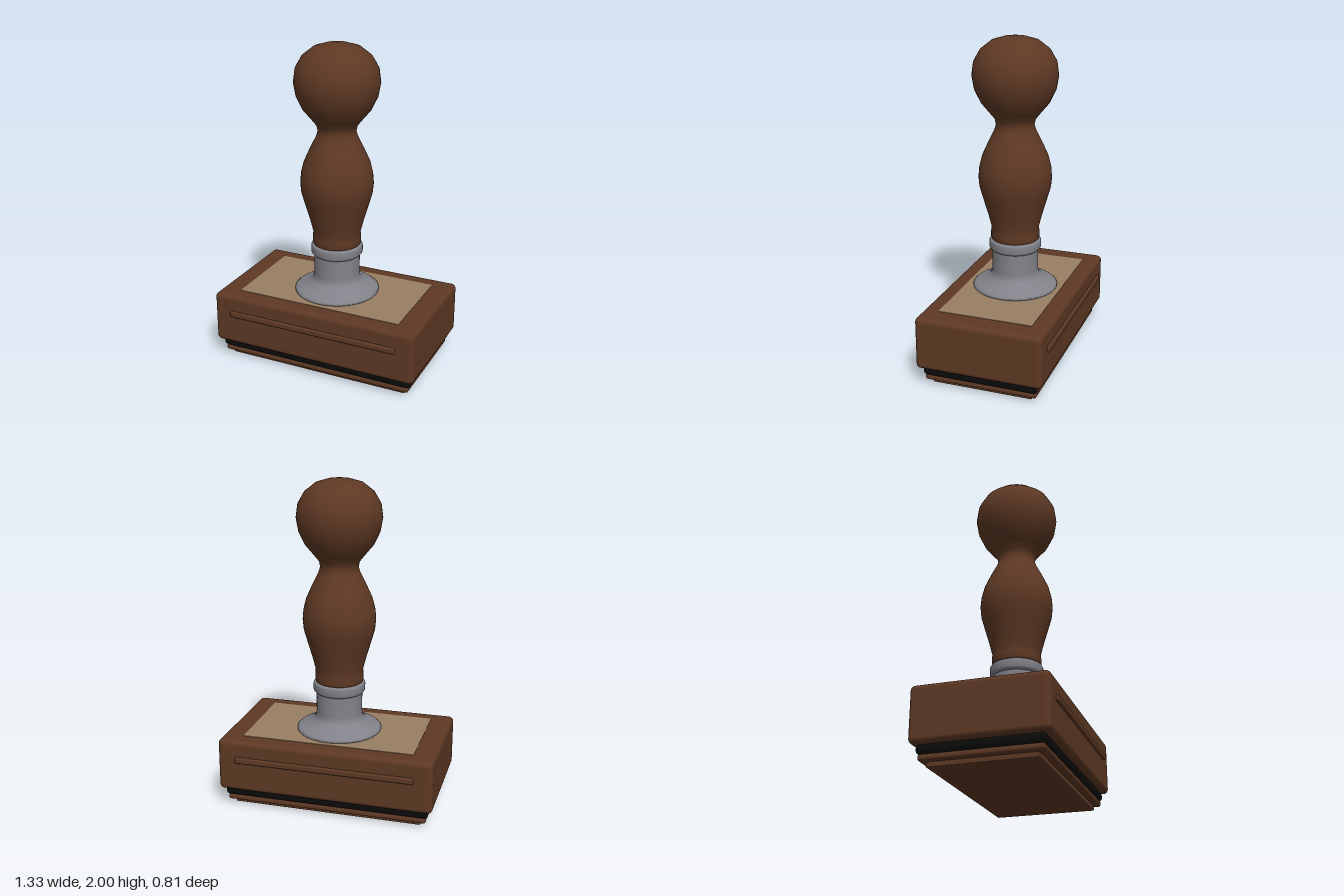
import * as THREE from 'three';
import { RoundedBoxGeometry } from 'three/addons/geometries/RoundedBoxGeometry.js';

const material = (name, color) => {
  const m = new THREE.MeshStandardMaterial({ color });
  m.name = name;
  return m;
};

export function createModel() {
  const group = new THREE.Group();
  const wood = material('brown wood', 0x5e3924);
  const paper = material('tan label', 0x997f63);
  const metal = material('grey metal', 0x82828a);
  const rubber = material('black rubber', 0x0c0c0c);

  const add = (name, geometry, mat, x = 0, y = 0, z = 0) => {
    const mesh = new THREE.Mesh(geometry, mat);
    mesh.name = name;
    mesh.position.set(x, y, z);
    group.add(mesh);
    return mesh;
  };
  // Rounded slab given by half width, half depth, bottom and top heights
  const slab = (name, hx, hz, y0, y1, r, mat) =>
    add(name, new RoundedBoxGeometry(hx * 2, y1 - y0, hz * 2, 3, r), mat, 0, (y0 + y1) / 2, 0);
  const lathe = (name, points, mat) =>
    add(name, new THREE.LatheGeometry(points.map(([r, y]) => new THREE.Vector2(r, y)), 48), mat);

  // Base: body block over rubber cushion and stamping plates
  slab('bodyBlock', 0.665, 0.39, 0.113, 0.44, 0.03, wood);
  slab('rubberCushion', 0.635, 0.355, 0.062, 0.118, 0.022, rubber);
  slab('mountPlate', 0.622, 0.347, 0.028, 0.065, 0.015, wood);
  slab('stampPlate', 0.586, 0.31, 0, 0.032, 0.006, wood);

  // Label on the top face
  add('topLabel', new THREE.BoxGeometry(1.064, 0.006, 0.582), paper, 0, 0.44, 0);

  // Grip rails on both long sides
  for (const s of [1, -1]) {
    add('gripRail', new RoundedBoxGeometry(1.106, 0.04, 0.04, 2, 0.012), wood, 0, 0.32, s * 0.385);
  }

  // Metal ferrule: flared foot, stem and collar
  lathe('ferruleFoot', [
    [0, 0.44], [0.262, 0.44], [0.262, 0.455], [0.25, 0.465], [0.215, 0.478],
    [0.18, 0.495], [0.155, 0.515], [0.145, 0.535], [0.142, 0.56], [0.142, 0.7],
  ], metal);
  lathe('ferruleCollar', [
    [0.142, 0.685], [0.152, 0.692], [0.16, 0.703], [0.16, 0.742],
    [0.155, 0.752], [0.145, 0.757], [0, 0.757],
  ], metal);

  // Turned wooden handle with a ball top
  lathe('handle', [
    [0, 0.755], [0.143, 0.755], [0.149, 0.768], [0.149, 0.805], [0.146, 0.835],
    [0.165, 0.91], [0.197, 1.02], [0.217, 1.09], [0.223, 1.15], [0.218, 1.21], [0.201, 1.28],
    [0.165, 1.36], [0.125, 1.44], [0.115, 1.475], [0.123, 1.51], [0.155, 1.55],
    [0.205, 1.61], [0.243, 1.69], [0.257, 1.77], [0.246, 1.85], [0.206, 1.92],
    [0.14, 1.972], [0.07, 1.993], [0, 2],
  ], wood);

  return group;
}
